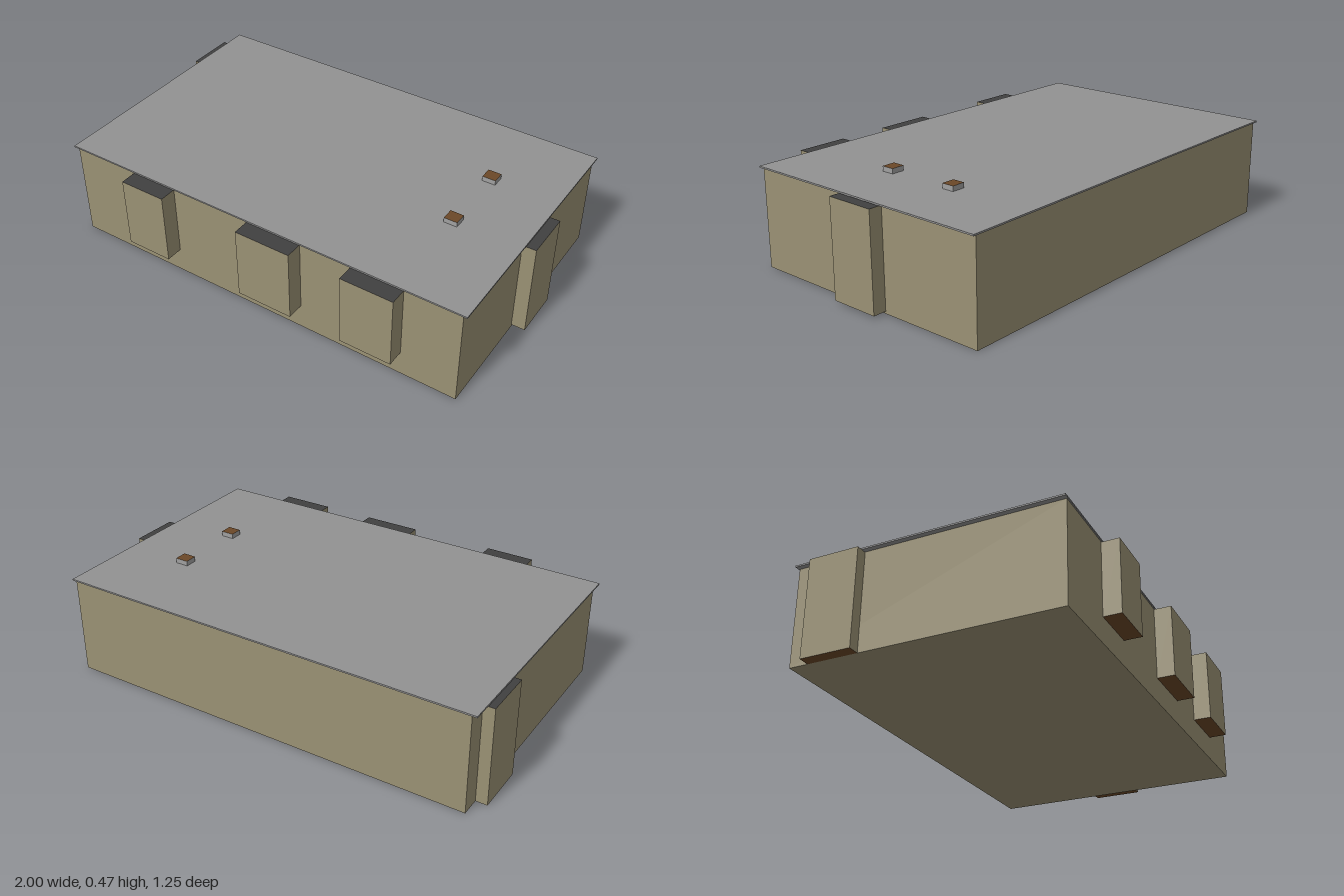
import * as THREE from 'three';

const paint = (color) => new THREE.MeshStandardMaterial({ color });

export function createModel() {
  const model = new THREE.Group();
  const wall = paint(0x9a9174);
  const roofGrey = paint(0x929292);
  const darkGrey = paint(0x404040);
  const chimneyGrey = paint(0xa0a0a0);
  const brown = paint(0x6b4828);

  // Box from its extents, with separate side, top and bottom colours
  function block(name, [x0, x1], [y0, y1], [z0, z1], side, top = side, bottom = side) {
    const geometry = new THREE.BoxGeometry(x1 - x0, y1 - y0, z1 - z0);
    const mesh = new THREE.Mesh(geometry, [side, side, top, bottom, side, side]);
    mesh.name = name;
    mesh.position.set((x0 + x1) / 2, (y0 + y1) / 2, (z0 + z1) / 2);
    model.add(mesh);
  }

  // Main building and its thin overhanging roof
  block('walls', [-0.95, 0.94], [0, 0.438], [-0.62, 0.548], wall);
  block('roof', [-0.972, 0.957], [0.438, 0.445], [-0.625, 0.553], roofGrey);

  // Raised bays along the front
  [[-0.63, -0.415], [-0.037, 0.22], [0.455, 0.69]].forEach((x, i) =>
    block(`frontBay${i + 1}`, x, [0.112, 0.436], [0.548, 0.625], wall, darkGrey, brown));

  // Bays on the two ends
  block('leftBay', [0.94, 1], [0.01, 0.436], [-0.15, 0.07], wall, darkGrey, brown);
  block('rightBay', [-1, -0.95], [0, 0.436], [-0.535, -0.31], wall, darkGrey, brown);

  // Low chimneys with brown tops
  [-0.235, 0.095].forEach((z, i) =>
    block(`chimney${i + 1}`, [0.62, 0.68], [0.445, 0.467], [z - 0.028, z + 0.028], chimneyGrey, brown));

  return model;
}
